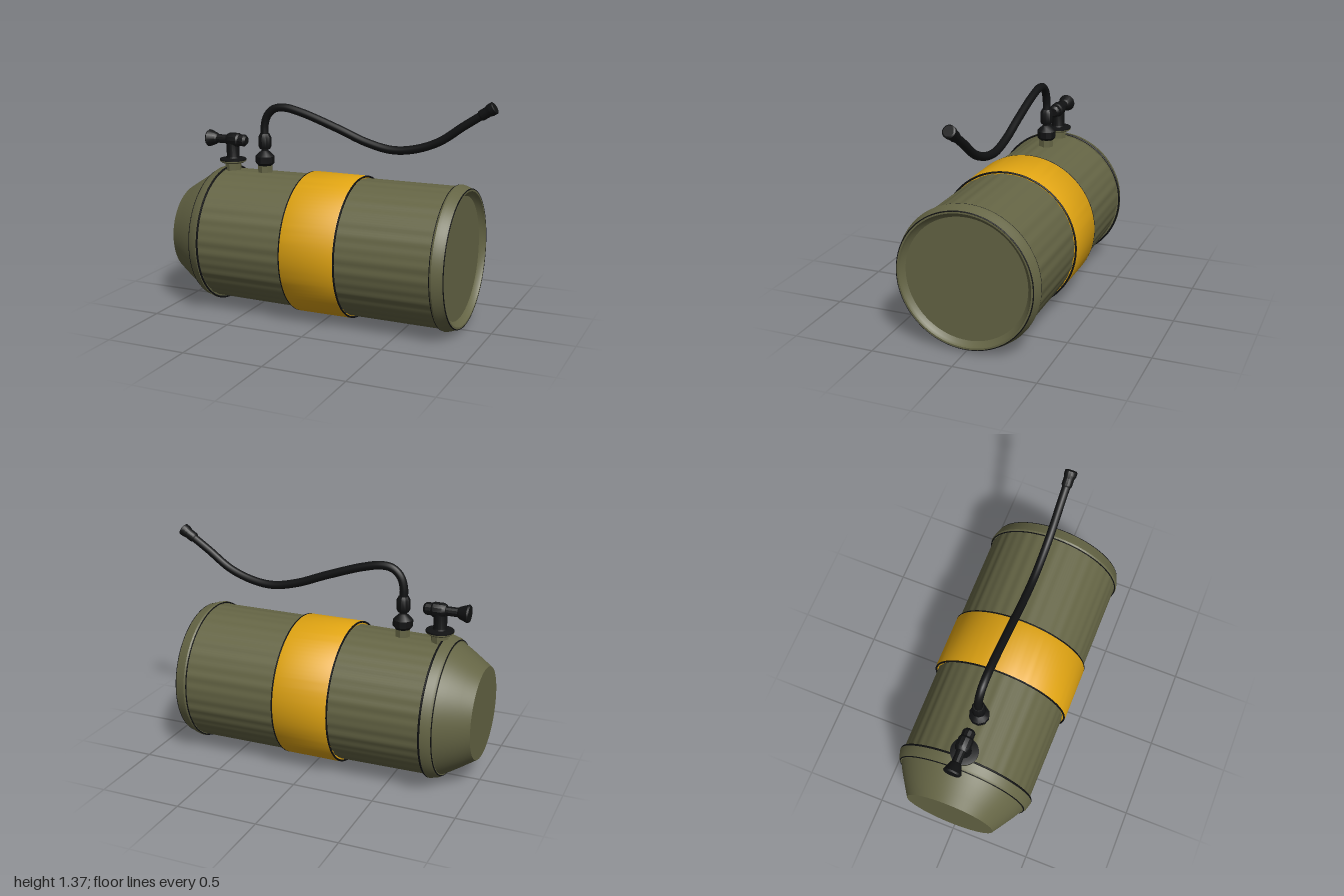
import * as THREE from 'three';
import { toCreasedNormals } from 'three/addons/utils/BufferGeometryUtils.js';

const olive = new THREE.MeshStandardMaterial({ name: 'olive paint', color: 0x656545 });
const yellow = new THREE.MeshStandardMaterial({ name: 'yellow band', color: 0xe0a412 });
const black = new THREE.MeshStandardMaterial({ name: 'black rubber', color: 0x111213 });

const AXIS_Y = 0.4375;

export function createModel() {
  const model = new THREE.Group();
  model.name = 'canister';

  const add = (name, geometry, material, parent = model) => {
    const mesh = new THREE.Mesh(geometry, material);
    mesh.name = name;
    parent.add(mesh);
    return mesh;
  };

  // Turned part: profile is a list of [position along axis, radius]
  const turned = (profile, segments, crease = 0.5, ripple = 0) => {
    const geo = new THREE.LatheGeometry(profile.map(([a, r]) => new THREE.Vector2(r, a)), segments);
    if (ripple) {
      const p = geo.attributes.position;
      for (let i = 0; i < p.count; i++) {
        const t = Math.atan2(p.getX(i), p.getZ(i));
        const k = 1 - ripple * (0.5 + 0.3 * Math.cos(36 * t) + 0.2 * Math.cos(23 * t));
        p.setX(i, p.getX(i) * k);
        p.setZ(i, p.getZ(i) * k);
      }
    }
    return toCreasedNormals(geo, crease);
  };

  // Large drum, lying along x
  const drum = new THREE.Group();
  drum.name = 'drum';
  drum.rotation.z = -Math.PI / 2;
  drum.position.y = AXIS_Y;
  model.add(drum);

  add('taperedEnd', turned([[-1, 0], [-1, 0.279], [-0.93, 0.325], [-0.86, 0.37], [-0.805, 0.4]], 96), olive, drum);
  add('leftCollar', turned([[-0.812, 0.385], [-0.812, 0.404], [-0.795, 0.418], [-0.75, 0.431], [-0.745, 0.4]], 96), olive, drum);
  add('leftBody', turned([[-0.76, 0.412], [-0.17, 0.418]], 180, 0.5, 0.014), olive, drum);
  add('rightBody', turned([[0.16, 0.423], [0.77, 0.425]], 180, 0.5, 0.014), olive, drum);
  add('centerBand', turned([[-0.178, 0.405], [-0.178, 0.434], [-0.172, 0.4365], [0.16, 0.4365], [0.166, 0.434], [0.166, 0.405]], 96), yellow, drum);
  add('rightCap', turned([
    [0.755, 0.405], [0.755, 0.433], [0.765, 0.4365], [0.785, 0.432], [0.81, 0.422], [0.832, 0.416],
    [0.832, 0.402], [0.815, 0.394], [0.798, 0.372], [0.798, 0],
  ], 96), olive, drum);

  // Dark seams around the drum
  const seams = [[-0.809, 0.4045, 0.004], [-0.742, 0.425, 0.006], [-0.181, 0.43, 0.006],
    [0.169, 0.431, 0.006], [0.753, 0.43, 0.004], [0.829, 0.414, 0.004]];
  for (const [x, r, w] of seams) {
    const ring = new THREE.TorusGeometry(r, w, 6, 96);
    ring.rotateX(Math.PI / 2);
    ring.translate(0, x, 0);
    add('seam', ring, black, drum);
  }

  // Valve with a sideways handle
  const valve = new THREE.Group();
  valve.name = 'valve';
  valve.position.x = -0.715;
  model.add(valve);
  add('valveBase', turned([[0.8, 0.052], [0.9, 0.052]], 8), olive, valve);
  add('valveFlangeLower', turned([[0.893, 0], [0.893, 0.07], [0.903, 0.083], [0.908, 0.083], [0.908, 0]], 24), olive, valve);
  add('valveFlange', turned([[0.908, 0], [0.908, 0.083], [0.917, 0.083], [0.922, 0.06], [0.922, 0]], 24), black, valve);
  add('valveStem', turned([[0.915, 0.046], [0.93, 0.04], [1.03, 0.04], [1.03, 0]], 16), black, valve);
  const handle = add('valveHandle', turned([
    [-0.175, 0], [-0.175, 0.048], [-0.165, 0.055], [-0.115, 0.036], [-0.105, 0.028], [-0.035, 0.028],
    [-0.035, 0.036], [-0.015, 0.045], [0.04, 0.045], [0.052, 0.038], [0.085, 0.038], [0.1, 0.025], [0.1, 0],
  ], 12), black, valve);
  handle.rotation.z = -Math.PI / 2;
  handle.position.y = 1.037;

  // Hose fitting
  const fitting = new THREE.Group();
  fitting.name = 'hoseFitting';
  fitting.position.x = -0.487;
  model.add(fitting);
  add('fittingBase', turned([[0.8, 0.046], [0.905, 0.046]], 8), olive, fitting);
  add('fittingNut', turned([
    [0.892, 0], [0.892, 0.045], [0.91, 0.06], [0.95, 0.06], [0.975, 0.035], [0.985, 0.022], [1.01, 0.022],
  ], 10), black, fitting);
  add('fittingSleeve', turned([
    [0.997, 0], [0.997, 0.033], [1.012, 0.041], [1.07, 0.041], [1.092, 0.03], [1.092, 0],
  ], 10), black, fitting);

  // Curved hose
  const path = new THREE.CatmullRomCurve3([
    [-0.487, 1.07], [-0.487, 1.14], [-0.467, 1.205], [-0.42, 1.25], [-0.35, 1.262], [-0.23, 1.238], [0, 1.16],
    [0.2, 1.085], [0.36, 1.053], [0.5, 1.068], [0.65, 1.123], [0.8, 1.227], [0.935, 1.316],
  ].map(([x, y]) => new THREE.Vector3(x, y, 0)));
  add('hose', new THREE.TubeGeometry(path, 120, 0.025, 14), black);

  // Flared hose tip
  const tip = add('hoseTip', turned([
    [-0.02, 0], [-0.02, 0.028], [-0.01, 0.032], [0.03, 0.032], [0.05, 0.038], [0.075, 0.038], [0.08, 0.03], [0.08, 0],
  ], 14), black);
  tip.position.set(0.91, 1.3, 0);
  tip.rotation.z = -Math.PI / 2 + 0.58;

  return model;
}
